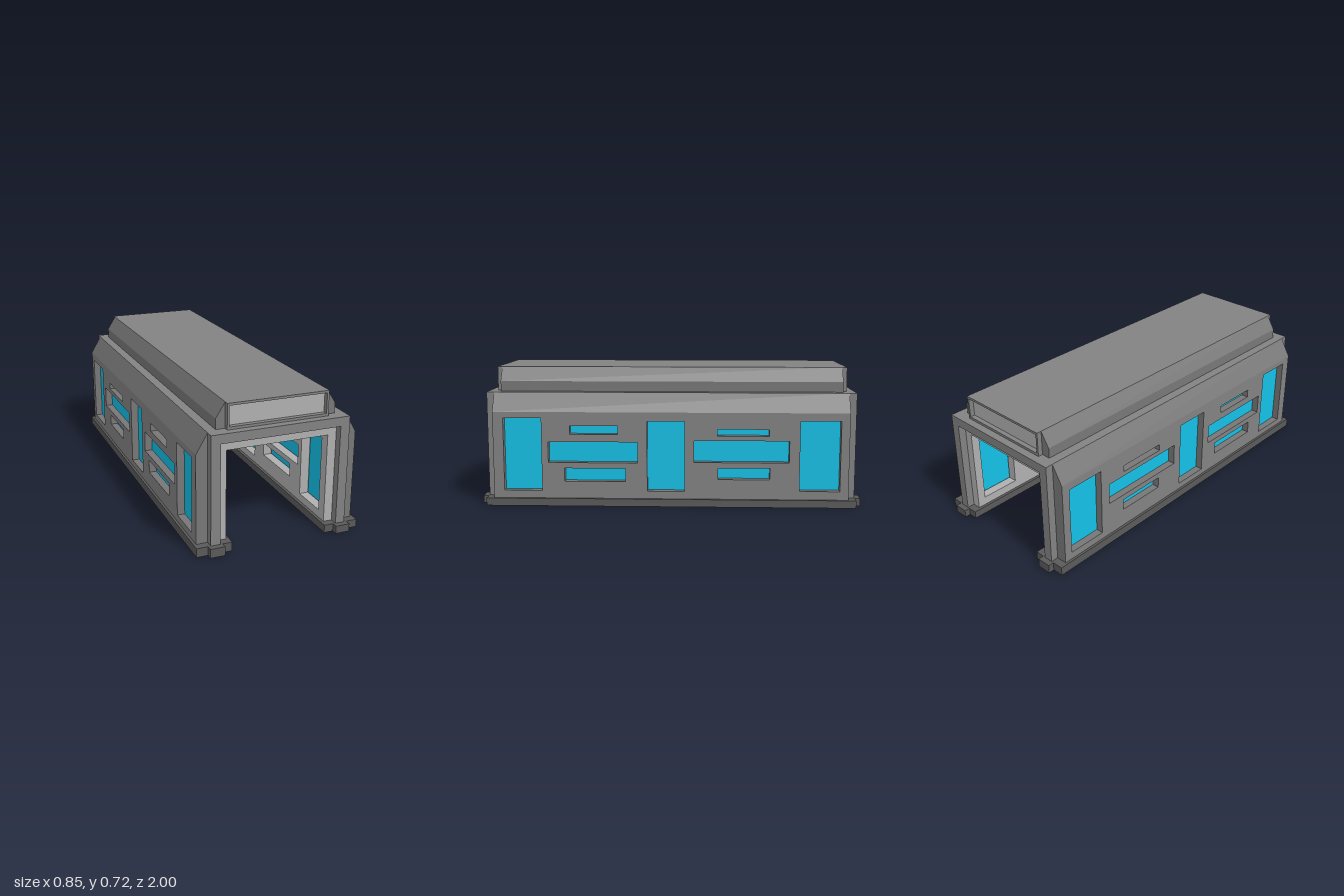
import * as THREE from 'three';

const paint = (color) => new THREE.MeshStandardMaterial({ color });
const frameGrey = paint(0x828282);
const shoulderGrey = paint(0x777777);
const baseGrey = paint(0x5a5a5a);
const liningGrey = paint(0xb0b0b0);
const blue = paint(0x14c0e6);

// Window openings: z min, z max, y min, y max
const windows = [
  [0.675, 0.875, 0.08, 0.465], [-0.075, 0.12, 0.08, 0.45], [-0.885, -0.675, 0.085, 0.455],
  [0.17, 0.64, 0.23, 0.34], [0.275, 0.525, 0.38, 0.425], [0.235, 0.555, 0.13, 0.2],
  [-0.62, -0.125, 0.235, 0.35], [-0.515, -0.245, 0.375, 0.41], [-0.52, -0.25, 0.145, 0.205],
];

function add(parent, name, geometry, material) {
  const mesh = new THREE.Mesh(geometry, material);
  mesh.name = name;
  parent.add(mesh);
}

function polygon(points) {
  return new THREE.Shape(points.map(([x, y]) => new THREE.Vector2(x, y)));
}

function rect(x0, x1, y0, y1) {
  return polygon([[x0, y0], [x1, y0], [x1, y1], [x0, y1]]);
}

// Extrudes an outline in x and y between two z positions
function extrude(shape, z0, z1) {
  return new THREE.ExtrudeGeometry(shape, { depth: z1 - z0, bevelEnabled: false }).translate(0, 0, z0);
}

function box(x0, x1, y0, y1, z0, z1) {
  return new THREE.BoxGeometry(x1 - x0, y1 - y0, z1 - z0)
    .translate((x0 + x1) / 2, (y0 + y1) / 2, (z0 + z1) / 2);
}

// Upright slab with the window openings, between two distances from the centre
function windowedSlab(side, xIn, xOut) {
  const shape = rect(-0.93, 0.93, 0.04, 0.497);
  for (const [z0, z1, y0, y1] of windows) shape.holes.push(rect(-z1, -z0, y0, y1));
  return extrude(shape, 0, xOut - xIn).rotateY(Math.PI / 2).translate(side > 0 ? xIn : -xOut, 0, 0);
}

// Strip with a sloping top, running along one side
function shoulder(side, xIn, xOut, y0, ySide, yTop, zEnd) {
  const points = [[xIn, y0], [xOut, y0], [xOut, ySide], [xIn, yTop]];
  return extrude(polygon(points.map(([x, y]) => [side * x, y])), -zEnd, zEnd);
}

export function createModel() {
  const model = new THREE.Group();
  model.name = 'tunnel';

  // Side walls: cladding, pale lining, recessed panes, shoulders and base rails
  for (const side of [1, -1]) {
    const wall = new THREE.Group();
    wall.name = side > 0 ? 'leftWall' : 'rightWall';
    model.add(wall);

    add(wall, 'cladding', windowedSlab(side, 0.307, 0.413), [frameGrey, shoulderGrey]);
    add(wall, 'lining', windowedSlab(side, 0.262, 0.307), liningGrey);
    for (const [z0, z1, y0, y1] of windows) {
      add(wall, 'windowPane', box(-0.031, 0.031, y0, y1, z0, z1).translate(side * 0.343, 0, 0), blue);
    }
    add(wall, 'wallShoulder', shoulder(side, 0.355, 0.413, 0.497, 0.497, 0.595, 0.93), shoulderGrey);
    add(wall, 'roofShoulder', shoulder(side, 0.26, 0.307, 0.595, 0.648, 0.722, 0.905), shoulderGrey);

    const top = side > 0 ? 0.04 : 0.046;
    const rail = box(-0.09, 0.09, 0, top, -0.97, 0.97);
    add(wall, 'baseRail', rail.translate(side * 0.336, 0, 0), baseGrey);
    for (const end of [1, -1]) {
      const foot = box(-0.037, 0.037, 0, top, -0.015, 0.015);
      add(wall, 'railFoot', foot.translate(side * 0.331, 0, end * 0.985), baseGrey);
    }
  }

  // Ceiling lining, with the upper deck and roof block above it
  add(model, 'ceilingLining', box(-0.307, 0.307, 0.497, 0.548, -0.93, 0.93), liningGrey);
  add(model, 'upperDeck', box(-0.355, 0.355, 0.548, 0.595, -0.93, 0.93), frameGrey);
  add(model, 'roof', box(-0.26, 0.26, 0.595, 0.722, -0.9, 0.9), frameGrey);

  // Ends: portal arch, and a framed pale panel on the roof block
  const arch = polygon([
    [-0.355, 0.04], [-0.307, 0.04], [-0.307, 0.548], [0.307, 0.548],
    [0.307, 0.04], [0.355, 0.04], [0.355, 0.595], [-0.355, 0.595],
  ]);
  const roofFrame = rect(-0.26, 0.26, 0.595, 0.722);
  roofFrame.holes.push(rect(-0.249, 0.249, 0.608, 0.71));
  for (const end of [1, -1]) {
    const portal = new THREE.Group();
    portal.name = end > 0 ? 'frontPortal' : 'backPortal';
    model.add(portal);
    const span = (a, b) => (end > 0 ? [a, b] : [-b, -a]);
    add(portal, 'portalArch', extrude(arch, ...span(0.93, 0.97)), frameGrey);
    add(portal, 'roofEndFrame', extrude(roofFrame, ...span(0.9, 0.93)), frameGrey);
    add(portal, 'roofEndPanel', box(-0.249, 0.249, 0.608, 0.71, ...span(0.9, 0.905)), liningGrey);
  }
  return model;
}
